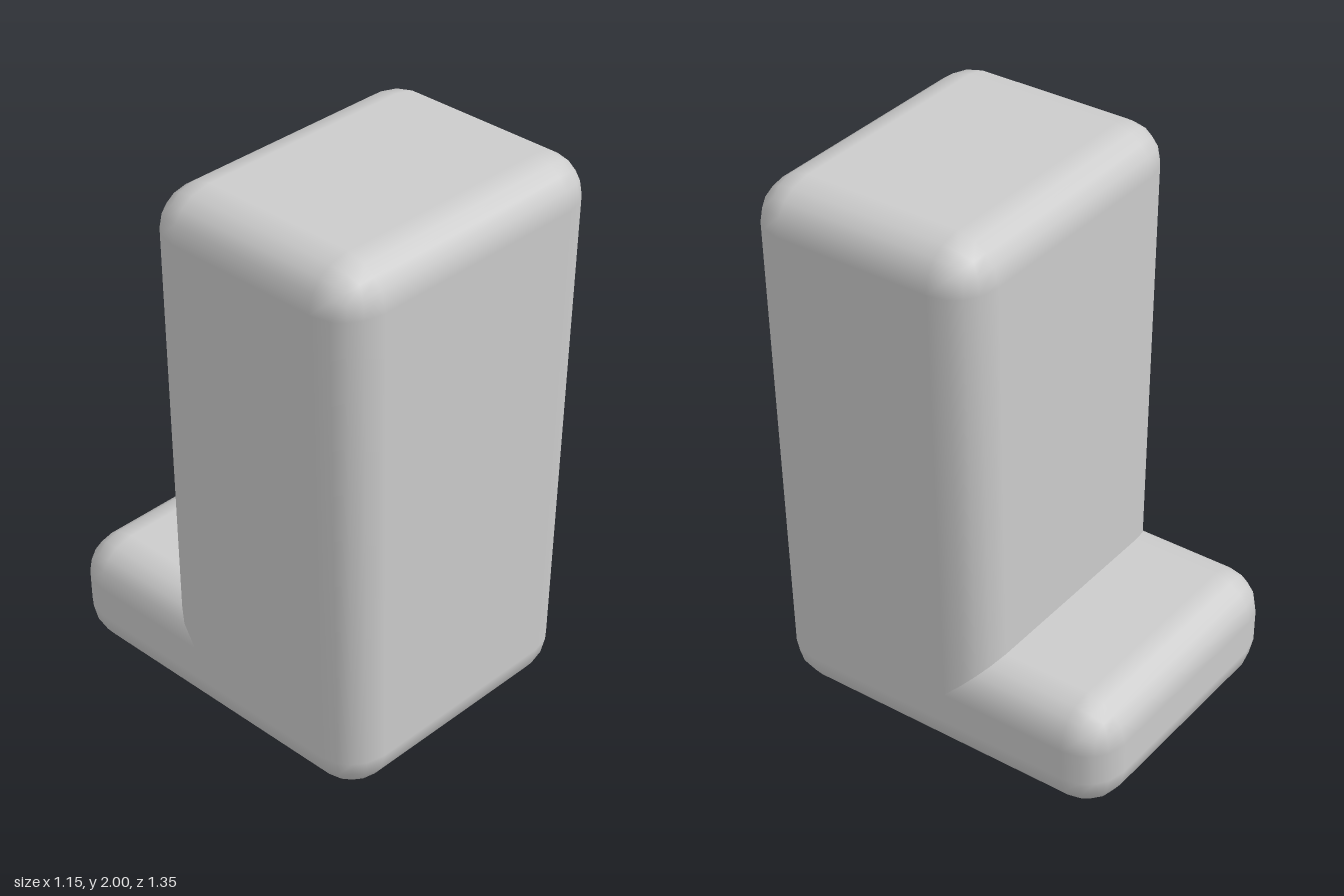
import * as THREE from 'three';
import { RoundedBoxGeometry } from 'three/addons/geometries/RoundedBoxGeometry.js';

const WIDTH = 1.054;    // width at the ground
const FLARE = 0.0495;   // relative widening per unit of height
const RADIUS = 0.15;

// Rounded block standing on the ground from zBack to zFront, flaring wider towards its top.
function flaredBlock(name, height, zBack, zFront, material) {
  const geometry = new RoundedBoxGeometry(WIDTH, height, zFront - zBack, 2, RADIUS);
  geometry.translate(0, height / 2, (zBack + zFront) / 2);
  const position = geometry.attributes.position;
  const normal = geometry.attributes.normal;
  const n = new THREE.Vector3();
  for (let i = 0; i < position.count; i++) {
    const x = position.getX(i);
    const scale = 1 + FLARE * position.getY(i);
    position.setX(i, x * scale);
    // tilt the normal to follow the flare
    n.fromBufferAttribute(normal, i);
    n.set(n.x / scale, n.y - (n.x * x * FLARE) / scale, n.z).normalize();
    normal.setXYZ(i, n.x, n.y, n.z);
  }
  const mesh = new THREE.Mesh(geometry, material);
  mesh.name = name;
  return mesh;
}

export function createModel() {
  const group = new THREE.Group();
  group.name = 'lShapedBlock';
  const material = new THREE.MeshStandardMaterial({ color: 0xcccccc });

  // Tall upright body at the front
  group.add(flaredBlock('body', 2, -0.2, 0.675, material));
  // Low step at the back, running into the body
  group.add(flaredBlock('rearStep', 0.42, -0.675, 0.3, material));

  return group;
}
